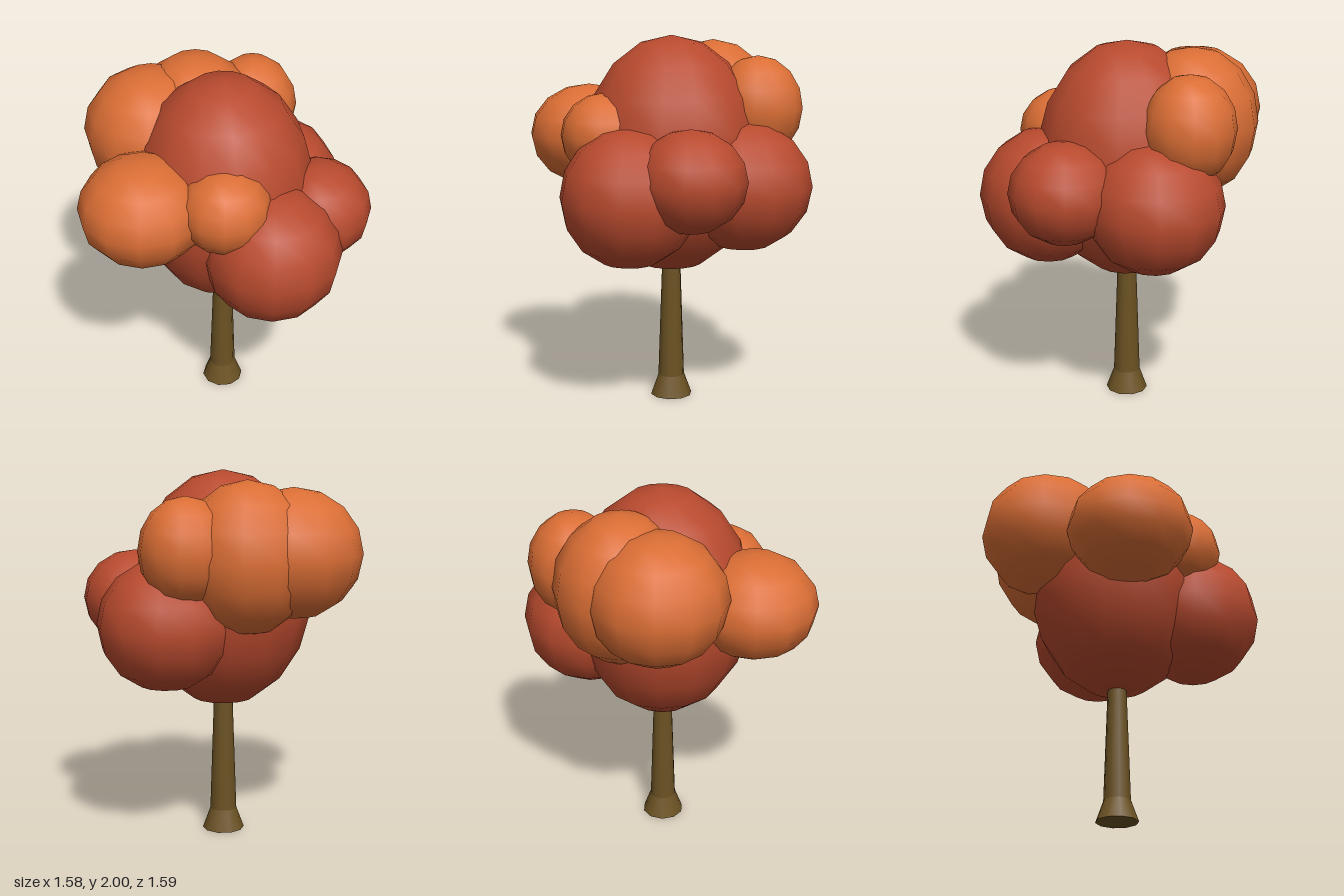
import * as THREE from 'three';

const red = new THREE.MeshStandardMaterial({ color: 0xb84a2e });
const orange = new THREE.MeshStandardMaterial({ color: 0xdb6e35 });
const bark = new THREE.MeshStandardMaterial({ color: 0x6b5223 });

// Axis of the trunk and the main crown
const AX = 0.015, AZ = -0.03;

// Leaf clump: a sphere squashed to a horizontal radius r and a vertical radius h
function clump(name, material, [x, y, z], r, h, around = 12, rings = 8) {
  const geometry = new THREE.SphereGeometry(1, around, rings);
  geometry.scale(r, h, r);
  const mesh = new THREE.Mesh(geometry, material);
  mesh.name = name;
  mesh.position.set(x, y, z);
  return mesh;
}

// Tapered ten-sided trunk section from y0 to y1
function trunkSection(name, rTop, rBottom, y0, y1, open) {
  const geometry = new THREE.CylinderGeometry(rTop, rBottom, y1 - y0, 10, 1, open);
  geometry.rotateY(Math.PI / 2);
  const mesh = new THREE.Mesh(geometry, bark);
  mesh.name = name;
  mesh.position.set(AX, (y0 + y1) / 2, AZ);
  return mesh;
}

export function createModel() {
  const tree = new THREE.Group();
  tree.name = 'tree';

  // Trunk with a flared foot
  const trunk = new THREE.Group();
  trunk.name = 'trunk';
  trunk.add(
    trunkSection('trunkFoot', 0.073, 0.115, 0, 0.115, false),
    trunkSection('trunkShaft', 0.05, 0.073, 0.115, 0.8, true)
  );

  // Crown of overlapping leaf clumps
  const crown = new THREE.Group();
  crown.name = 'crown';
  crown.add(
    clump('mainCrown', red, [AX, 1.36, AZ], 0.485, 0.64, 14, 9),
    clump('frontLeftClump', red, [0.405, 1.182, 0.14], 0.368, 0.365),
    clump('leftClump', red, [0.495, 1.29, -0.187], 0.29, 0.266),
    clump('backClump', red, [0.105, 1.21, -0.428], 0.367, 0.348),
    clump('rightClump', orange, [-0.427, 1.58, -0.034], 0.364, 0.343),
    clump('backRightClump', orange, [-0.27, 1.565, -0.228], 0.354, 0.4),
    clump('smallBackClump', orange, [-0.065, 1.61, -0.488], 0.244, 0.28),
    clump('frontClump', orange, [-0.175, 1.44, 0.455], 0.335, 0.28),
    clump('smallFrontClump', orange, [0.21, 1.48, 0.296], 0.242, 0.227)
  );

  tree.add(trunk, crown);
  return tree;
}
